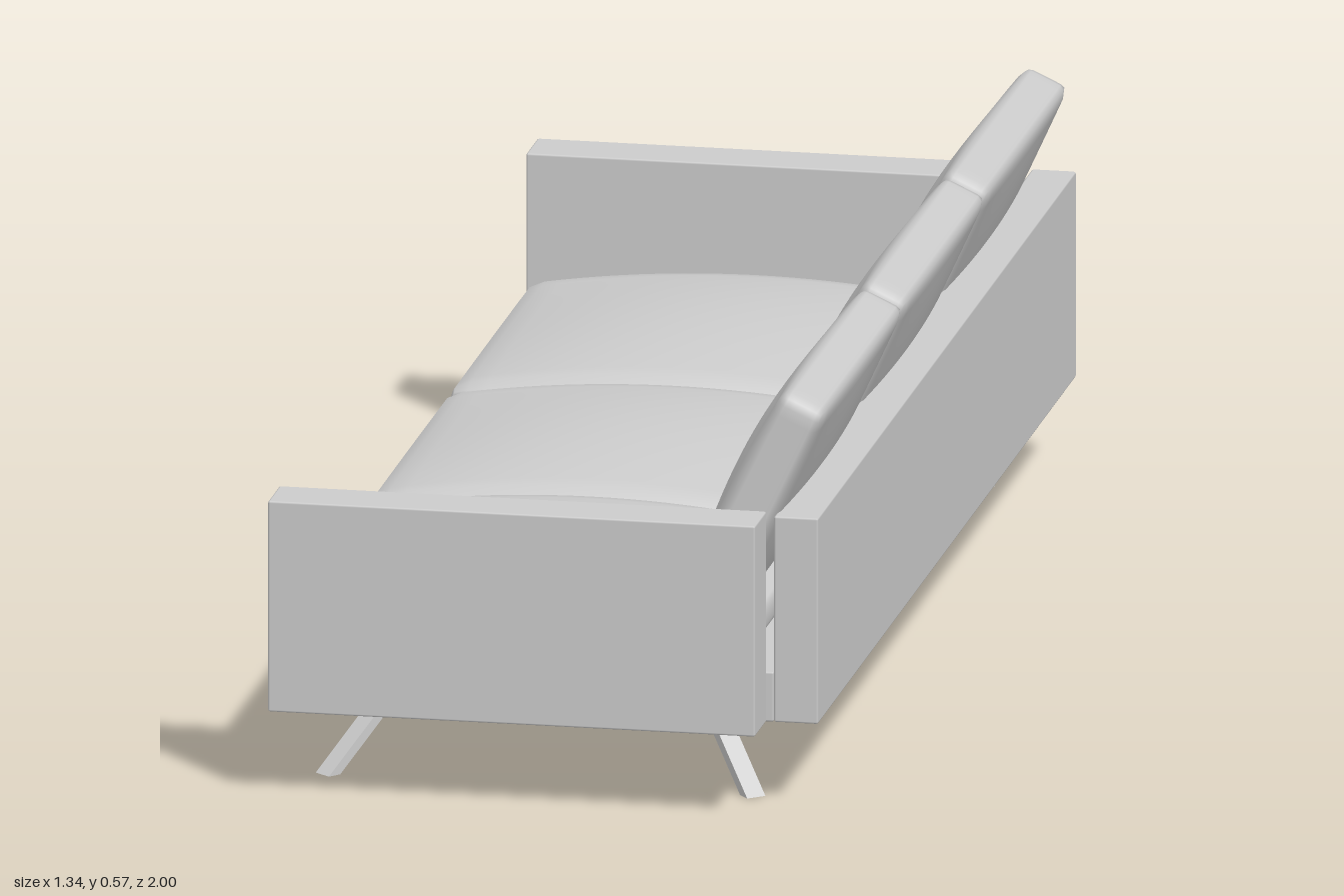
import * as THREE from 'three';
import { mergeVertices } from 'three/addons/utils/BufferGeometryUtils.js';
import { RoundedBoxGeometry } from 'three/addons/geometries/RoundedBoxGeometry.js';

const material = new THREE.MeshStandardMaterial({ color: 0xcccccc });

// Sofa space: x runs along the length (0..LENGTH), z = 0 is the front, -z the back
const LENGTH = 1.884, ARM = 0.08, ARM_DEPTH = 0.67, DEPTH = 0.741, FLOOR = 0.12;
const SEATS = 3, SEAT_W = (LENGTH - 2 * ARM) / SEATS;

function add(parent, name, geometry, x = 0, y = 0, z = 0) {
  const mesh = new THREE.Mesh(geometry, material);
  mesh.name = name;
  mesh.position.set(x, y, z);
  parent.add(mesh);
  return mesh;
}

// Box given by its low and high corners, with a tiny softened edge
function slab(parent, name, [x0, y0, z0], [x1, y1, z1]) {
  const g = new RoundedBoxGeometry(x1 - x0, y1 - y0, z1 - z0, 1, 0.003);
  return add(parent, name, g, (x0 + x1) / 2, (y0 + y1) / 2, (z0 + z1) / 2);
}

// Upholstered pad lying in the xz plane: rounded edges, domed top and bottom.
// arch = rise shared by the side seams, dome = extra rise at the centre
function cushionGeometry(w, h, d, r, arch, dome, under) {
  let g = new THREE.BoxGeometry(w, h, d, 24, 6, 24);
  g.deleteAttribute('uv');
  g.deleteAttribute('normal');
  g = mergeVertices(g, 1e-5);
  const pos = g.attributes.position;
  const inner = new THREE.Vector3(w / 2 - r, h / 2 - r, d / 2 - r);
  const low = inner.clone().negate();
  const p = new THREE.Vector3(), core = new THREE.Vector3();
  for (let i = 0; i < pos.count; i++) {
    p.fromBufferAttribute(pos, i);
    core.copy(p).clamp(low, inner);
    p.sub(core).setLength(r).add(core);
    const fx = Math.max(0, 1 - (2 * p.x / w) ** 2);
    const fz = Math.max(0, 1 - (2 * p.z / d) ** 2);
    const t = p.y / (h / 2);
    p.y += t > 0 ? t * (arch * fz + dome * fx * fz) : t * under * fx * fz;
    pos.setXYZ(i, p.x, p.y, p.z);
  }
  g.computeVertexNormals();
  return g;
}

// Flat bar sheared so that both ends stay horizontal
function legGeometry(dx, dz, height) {
  const g = new THREE.BoxGeometry(0.02, height, 0.028).toNonIndexed();
  g.rotateY(Math.atan2(-dz, dx));
  const pos = g.attributes.position;
  for (let i = 0; i < pos.count; i++) {
    const t = 0.5 + pos.getY(i) / height;
    pos.setX(i, pos.getX(i) + dx * t);
    pos.setZ(i, pos.getZ(i) + dz * t);
  }
  g.computeVertexNormals();
  return g;
}

export function createModel() {
  const model = new THREE.Group();
  model.name = 'sofa';
  const sofa = new THREE.Group();
  sofa.name = 'sofaBody';
  model.add(sofa);

  // Frame: base, two arms, and a back panel lapping over one arm only
  slab(sofa, 'base', [ARM, FLOOR, -0.68], [LENGTH - ARM, 0.19, -0.002]);
  slab(sofa, 'rightArm', [0, FLOOR, -ARM_DEPTH], [ARM, 0.415, 0]);
  slab(sofa, 'leftArm', [LENGTH - ARM, FLOOR, -ARM_DEPTH], [LENGTH, 0.415, 0]);
  slab(sofa, 'backPanel', [0, FLOOR, -DEPTH], [LENGTH - ARM, 0.408, -0.68]);

  // Cushions
  const seat = cushionGeometry(SEAT_W - 0.006, 0.05, 0.63, 0.018, 0.025, 0.025, 0);
  const back = cushionGeometry(SEAT_W - 0.008, 0.066, 0.37, 0.014, 0.004, 0.024, 0.008);
  back.rotateX(Math.PI / 2);
  for (let i = 0; i < SEATS; i++) {
    const x = ARM + SEAT_W * (i + 0.5);
    add(sofa, 'seatCushion' + (i + 1), seat, x, 0.215, -0.32);
    const b = add(sofa, 'backCushion' + (i + 1), back, x, 0.398, -0.642);
    b.rotation.x = -THREE.MathUtils.degToRad(25);
  }

  // Splayed legs, leaning outwards towards the floor
  for (const [x, sx] of [[0.137, 1], [LENGTH - 0.137, -1]]) {
    for (const [z, sz] of [[-0.056, -1], [-0.64, 1]]) {
      const name = (sz < 0 ? 'front' : 'back') + (sx > 0 ? 'Right' : 'Left') + 'Leg';
      add(sofa, name, legGeometry(0.107 * sx, 0.089 * sz, FLOOR + 0.005), x, (FLOOR + 0.005) / 2, z);
    }
  }

  // The sofa stands turned on the floor
  sofa.rotation.y = -THREE.MathUtils.degToRad(110);
  sofa.position.set(-0.026, 0, -1);
  return model;
}
